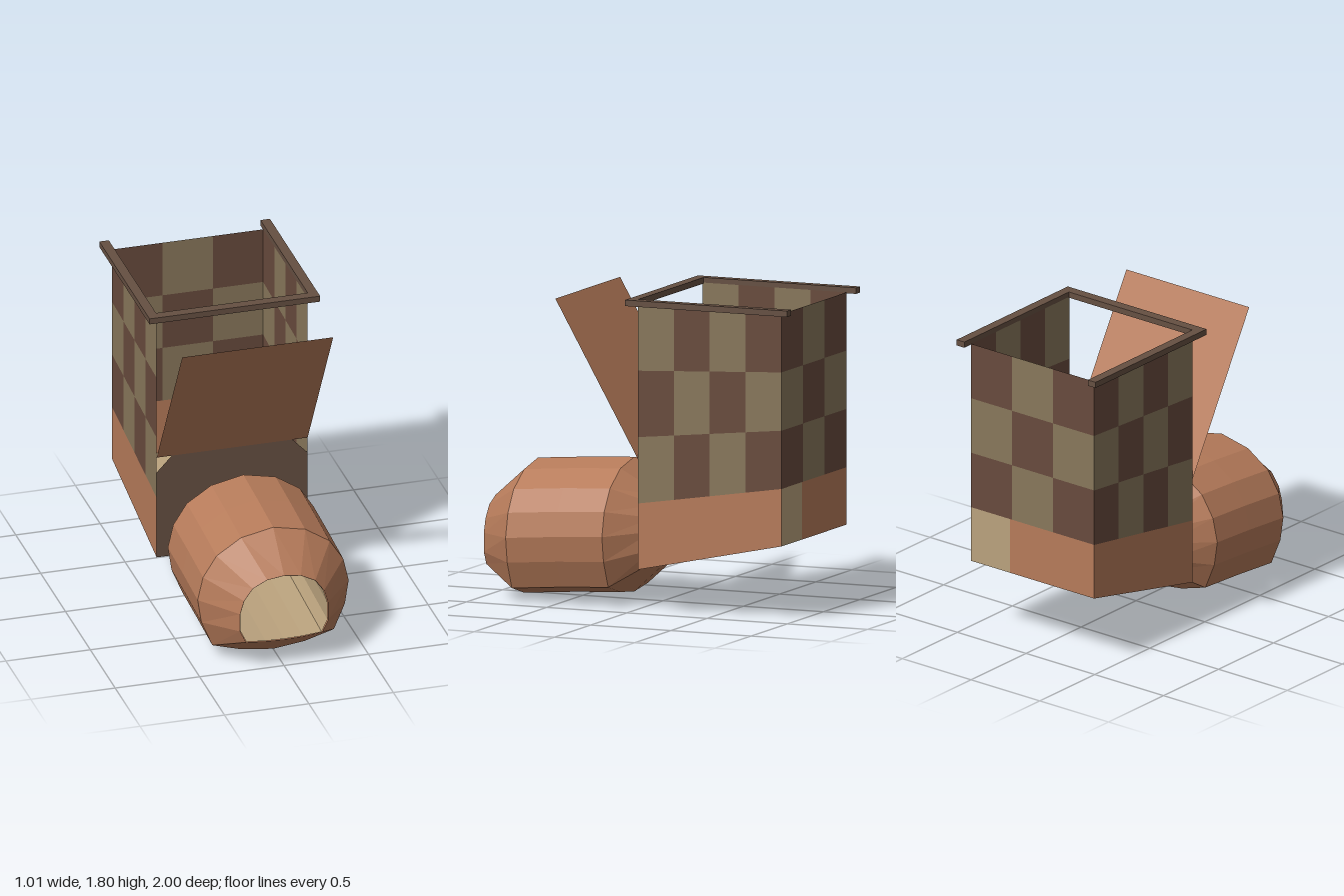
import * as THREE from 'three';

const mat = (name, color) => {
  const m = new THREE.MeshStandardMaterial({ color, side: THREE.DoubleSide });
  m.name = name;
  return m;
};

export function createModel() {
  const group = new THREE.Group();
  const clay = mat('clay', 0xb67b5a);
  const tan = mat('tan', 0xbaa27d);
  const olive = mat('olive', 0x88775b);
  const umber = mat('umber', 0x684b3d);
  const darkWood = mat('dark wood', 0x665042);

  const add = (name, geometry, material) => {
    const mesh = new THREE.Mesh(geometry, material);
    mesh.name = name;
    group.add(mesh);
    return mesh;
  };

  // Flat-faced surface from a list of four-cornered faces
  const quads = (faces) => {
    const pos = [];
    for (const [a, b, c, d] of faces) pos.push(...a, ...b, ...c, ...a, ...c, ...d);
    const g = new THREE.BufferGeometry();
    g.setAttribute('position', new THREE.Float32BufferAttribute(pos, 3));
    g.computeVertexNormals();
    return g;
  };

  // Skin between successive closed rings
  const loft = (rings) => {
    const faces = [];
    for (let r = 0; r < rings.length - 1; r++) {
      const p = rings[r], q = rings[r + 1], n = p.length;
      for (let i = 0; i < n; i++) {
        const j = (i + 1) % n;
        faces.push([p[i], q[i], q[j], p[j]]);
      }
    }
    return quads(faces);
  };

  const W = 0.447, FRONT = -0.045, BACK = -0.94, TOP = 1.775;

  // Half cross-sections, bottom centre to top centre, mirrored into rings
  const mouth = [[0, 0.173], [0.11, 0.176], [0.225, 0.186], [0.26, 0.26], [0.26, 0.37],
    [0.237, 0.45], [0.185, 0.522], [0.1, 0.565], [0, 0.578]];
  const belly = [[0, 0.006], [0.19, 0.03], [0.36, 0.08], [0.425, 0.235], [0.447, 0.38],
    [0.415, 0.52], [0.335, 0.645], [0.19, 0.74], [0, 0.78]];
  const mirrored = (half) => [...half, ...half.slice(1, -1).reverse().map(([x, y]) => [-x, y])];
  const ring = (half, z, lift = 0) => mirrored(half).map(([x, y]) => [x, y + lift, z]);
  const rear = mouth.map(([x, y]) => [x, 0.253 + (y - 0.173) * 0.955]);

  // Rounded entrance barrel with a straight inner tunnel
  add('barrel', loft([ring(mouth, 1), ring(belly, 0.78), ring(belly, 0.47, 0.025),
    ring(belly, 0.18, 0.042), ring(rear, FRONT)]), clay);
  add('tunnel', loft([ring(mouth.map(([x, y]) => [x * 0.99, 0.375 + (y - 0.375) * 0.99]), 0.998),
    ring(rear, FRONT)]), tan);

  // Front panel with clipped top corners and a tunnel opening
  const panel = new THREE.Shape([[-W, 0.25], [W, 0.25], [W, 0.79], [W - 0.09, 0.885],
    [-W + 0.09, 0.885], [-W, 0.79]].map(([x, y]) => new THREE.Vector2(x, y)));
  panel.holes.push(new THREE.Path(mirrored(rear).map(([x, y]) => new THREE.Vector2(x, y))));
  add('frontPanel', new THREE.ShapeGeometry(panel), darkWood).position.z = FRONT;

  // Flap leaning forward from the top of the front panel
  add('flap', quads([[[-W, 0.885, FRONT], [W, 0.885, FRONT], [W, TOP, 0.47], [-W, TOP, 0.47]]]), clay);

  // Sloping floor
  add('floor', quads([[[-W, 0.25, FRONT], [-W, 0.44, BACK], [W, 0.44, BACK], [W, 0.25, FRONT]]]), tan);

  // Lower side walls
  for (const s of [1, -1]) {
    const face = [[s * W, 0.25, FRONT], [s * W, 0.44, BACK], [s * W, 0.77, BACK], [s * W, 0.63, FRONT]];
    add(s > 0 ? 'leftLowerWall' : 'rightLowerWall', quads([s > 0 ? face : face.reverse()]), clay);
  }

  // Lower back wall with one paler patch at the corner
  const backStrip = (x0, x1) => quads([[[x1, 0.44, BACK], [x0, 0.44, BACK], [x0, 0.77, BACK], [x1, 0.77, BACK]]]);
  add('backLowerWall', backStrip(-W, 0.165), clay);
  add('backPatch', backStrip(0.165, W), tan);

  // Checkered wall: point(u, v) maps the unit square, u along the wall, v upward
  const checkered = (name, columns, firstTopIsOlive, flip, point) => {
    const sets = [[], []];
    for (let c = 0; c < columns; c++) {
      for (let r = 0; r < 3; r++) {
        const u0 = c / columns, u1 = (c + 1) / columns, v0 = r / 3, v1 = (r + 1) / 3;
        const face = [point(u0, v0), point(u1, v0), point(u1, v1), point(u0, v1)];
        sets[(c + r + (firstTopIsOlive ? 0 : 1)) % 2].push(flip ? face.reverse() : face);
      }
    }
    add(name + 'OliveChecks', quads(sets[0]), olive);
    add(name + 'DarkChecks', quads(sets[1]), umber);
  };
  for (const s of [1, -1]) {
    checkered(s > 0 ? 'leftWall' : 'rightWall', 4, true, s < 0, (u, v) => {
      const base = 0.63 + 0.14 * u;
      return [s * W, base + (TOP - base) * v, FRONT + (BACK - FRONT) * u];
    });
  }
  checkered('backWall', 3, false, false, (u, v) => [W - 2 * W * u, 0.77 + (TOP - 0.77) * v, BACK]);

  // Three-sided rim, open at the back
  const bar = (name, w, d, x, z) =>
    add(name, new THREE.BoxGeometry(w, 0.035, d), darkWood).position.set(x, 1.787, z);
  bar('frontRim', 0.9, 0.06, 0, -0.02);
  bar('leftRim', 0.056, 1.01, 0.477, -0.495);
  bar('rightRim', 0.056, 1.01, -0.477, -0.495);

  return group;
}
